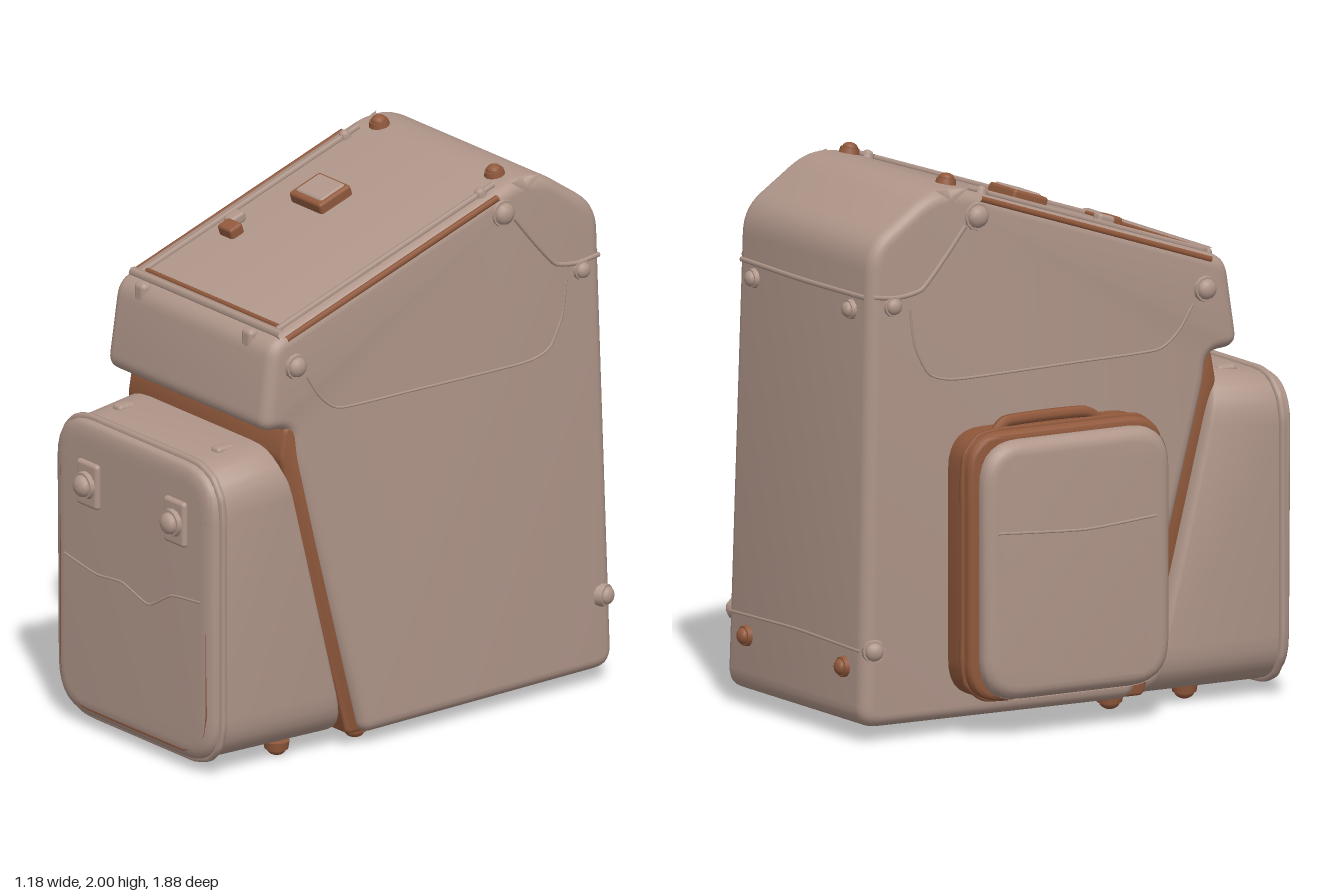
import * as THREE from 'three';
import { toCreasedNormals } from 'three/addons/utils/BufferGeometryUtils.js';
import { RoundedBoxGeometry } from 'three/addons/geometries/RoundedBoxGeometry.js';

const canvas = new THREE.MeshStandardMaterial({ name: 'tan canvas', color: 0xb0968a });
const leather = new THREE.MeshStandardMaterial({ name: 'brown leather', color: 0x91593c });

// closed outline from [x, y, cornerRadius] points
function roundPoly(points) {
  const shape = new THREE.Shape();
  const n = points.length;
  points.forEach(([x, y, r], i) => {
    const p = new THREE.Vector2(x, y);
    const toward = ([a, b]) => new THREE.Vector2(a, b).sub(p).setLength(r).add(p);
    const start = toward(points[(i + n - 1) % n]);
    const end = toward(points[(i + 1) % n]);
    if (i === 0) shape.moveTo(start.x, start.y);
    else shape.lineTo(start.x, start.y);
    shape.quadraticCurveTo(x, y, end.x, end.y);
  });
  shape.closePath();
  return shape;
}

const roundRect = (x0, x1, y0, y1, r) =>
  roundPoly([[x0, y0, r], [x1, y0, r], [x1, y1, r], [x0, y1, r]]);

// extrusion whose rounded edges stay inside the outline, running 0..depth
function softExtrude(shape, depth, bevel) {
  const g = new THREE.ExtrudeGeometry(shape, {
    depth: depth - 2 * bevel, bevelThickness: bevel, bevelSize: bevel,
    bevelOffset: -bevel, bevelSegments: 5, curveSegments: 7,
  });
  return g.translate(0, 0, bevel);
}

// side profile of [z, y, radius] points, extruded from x0 to x1
function sideExtrude(profile, x0, x1, bevel) {
  const shape = roundPoly(profile.map(([z, y, r]) => [-z, y, r]));
  return softExtrude(shape, x1 - x0, bevel).rotateY(Math.PI / 2).translate(x0, 0, 0);
}

function warp(geometry, rule) {
  const pos = geometry.attributes.position;
  const v = new THREE.Vector3();
  for (let i = 0; i < pos.count; i++) {
    rule(v.fromBufferAttribute(pos, i));
    pos.setXYZ(i, v.x, v.y, v.z);
  }
  return geometry;
}

export function createModel() {
  const model = new THREE.Group();
  model.name = 'backpack';

  const add = (name, geometry, material, parent = model) => {
    const mesh = new THREE.Mesh(geometry, material);
    mesh.name = name;
    parent.add(mesh);
    return mesh;
  };
  const smooth = (g) => toCreasedNormals(g, 0.7);
  const cord = (name, pts, r, material, closed = false) => {
    const curve = new THREE.CatmullRomCurve3(pts.map((p) => new THREE.Vector3(...p)), closed, 'catmullrom', 0.3);
    return add(name, new THREE.TubeGeometry(curve, pts.length * 8, r, 6, closed), material);
  };
  // rivet: a washer with a domed head, pointing along dir
  const stud = (name, material, pos, dir, r = 0.04, h = 0.03) => {
    const g = new THREE.Group();
    g.name = name;
    add('washer', new THREE.CylinderGeometry(r * 0.9, r, h, 12), material, g);
    const head = add('head', new THREE.SphereGeometry(r * 0.75, 12, 8), material, g);
    head.position.y = h * 0.5;
    head.scale.y = 0.7;
    g.position.set(...pos);
    g.quaternion.setFromUnitVectors(new THREE.Vector3(0, 1, 0), new THREE.Vector3(...dir).normalize());
    model.add(g);
  };

  // main bag with sloping lid and overhanging brow
  const body = sideExtrude([
    [0.24, 0.045, 0.05], [-0.9, 0.05, 0.08], [-0.86, 1.79, 0.09], [-0.6, 1.97, 0.08],
    [-0.48, 1.965, 0.05], [0.63, 1.6, 0.06], [0.68, 1.275, 0.06], [0.55, 1.265, 0.05], [0.535, 1.15, 0.04],
  ], -0.365, 0.55, 0.045);
  warp(body, (v) => { if (v.x > 0) v.x += 0.02 * (1 - v.y); });
  add('mainBag', smooth(body), canvas);

  // leather gusset between bag and front pocket
  add('frontGusset', smooth(sideExtrude([
    [0.2, 0.05, 0.02], [0.29, 0.05, 0.02], [0.59, 1.16, 0.02], [0.57, 1.27, 0.02], [0.5, 1.27, 0.02],
  ], -0.345, 0.535, 0.015)), leather);

  // front pocket, its back wall leaning with the bag
  const pocket = softExtrude(roundRect(-0.39, 0.505, 0.04, 1.15, 0.18), 1, 0.06);
  warp(pocket, (v) => {
    const back = 0.28 + (v.y - 0.05) * 0.27;
    const t = v.z;
    if (v.x > 0) v.x += 0.04 * (1 - t);
    if (v.y > 0.8) v.y += 0.04 * (1 - t);
    v.z = back + (0.885 - back) * t;
  });
  add('frontPocket', smooth(pocket), canvas);

  // piping around the pocket face
  const loop = (x0, x1, y0, y1, r, z) =>
    roundRect(x0, x1, y0, y1, r).getSpacedPoints(48).slice(0, -1).map((p) => [p.x, p.y, z]);
  cord('pocketPiping', loop(-0.395, 0.51, 0.04, 1.155, 0.18, 0.835), 0.016, canvas, true);
  cord('pocketTrim', loop(-0.355, 0.47, 0.075, 1.115, 0.16, 0.872), 0.011, leather, true);
  cord('pocketFaceSeam', [[-0.33, 0.63, 0.884], [-0.15, 0.6, 0.884], [0, 0.61, 0.884],
    [0.15, 0.57, 0.884], [0.28, 0.64, 0.884], [0.45, 0.66, 0.884]], 0.005, canvas);

  // pocket fasteners
  for (const x of [-0.185, 0.31]) {
    const plate = add('fastenerPlate', new RoundedBoxGeometry(0.12, 0.17, 0.03, 3, 0.014), canvas);
    plate.position.set(x, 0.93, 0.888);
    stud('fastenerKnob', canvas, [x, 0.93, 0.905], [0, 0, 1], 0.055, 0.03);
  }
  for (const x of [-0.22, 0.34]) {
    const tab = add('pocketTab', new RoundedBoxGeometry(0.05, 0.04, 0.08, 2, 0.015), canvas);
    tab.position.set(x, 1.165, 0.7);
  }

  // side pocket on the model's right: leather wall, canvas face, piping
  const sidePocket = (name, x0, x1, z0, z1, y0, y1, r, bevel, material) => {
    const g = softExtrude(roundRect(-z1, -z0, y0, y1, r), x1 - x0, bevel);
    add(name, smooth(g.rotateY(Math.PI / 2).translate(x0, 0, 0)), material);
  };
  sidePocket('sidePocketWall', -0.515, -0.34, -0.54, 0.27, 0.13, 1.1, 0.14, 0.02, leather);
  sidePocket('sidePocketFace', -0.575, -0.49, -0.51, 0.27, 0.135, 1.075, 0.16, 0.05, canvas);
  const ring = roundRect(-0.54, 0.27, 0.13, 1.1, 0.14).getSpacedPoints(40).slice(0, -1);
  cord('sidePocketPiping', ring.map((p) => [-0.465, p.y, p.x]), 0.011, leather, true);
  cord('sidePocketHandle', [[-0.42, 1.08, -0.38], [-0.42, 1.12, -0.33], [-0.42, 1.125, -0.14],
    [-0.42, 1.12, 0], [-0.42, 1.08, 0.06]], 0.022, leather);
  cord('sidePocketSeam', [[-0.574, 0.75, -0.46], [-0.576, 0.73, -0.1], [-0.574, 0.75, 0.2]], 0.005, canvas);

  // lid seams and hardware
  const lidY = (z) => 1.972 - (z + 0.48) * 0.332;
  const tilt = Math.atan(0.332);
  for (const x of [-0.295, 0.475]) {
    cord('lidSeam', [[x, lidY(-0.42), -0.42], [x, lidY(0.1), 0.1], [x, lidY(0.56), 0.56]], 0.012, canvas);
  }
  cord('lidFrontPiping', [[-0.33, lidY(0.575), 0.575], [0.1, lidY(0.575), 0.575], [0.52, lidY(0.575), 0.575]], 0.018, canvas);
  cord('lidFrontTrim', [[-0.29, lidY(0.545), 0.545], [0.1, lidY(0.545), 0.545], [0.475, lidY(0.545), 0.545]], 0.009, leather);
  for (const x of [-0.355, 0.525]) {
    cord('lidEdgeCord', [[x, lidY(-0.4) - 0.025, -0.4], [x, lidY(0.1) - 0.025, 0.1], [x, lidY(0.56) - 0.025, 0.56]], 0.012, leather);
  }
  const onLid = (name, size, x, z, lift, material) => {
    const m = add(name, new RoundedBoxGeometry(...size, 2, 0.012), material);
    m.position.set(x, lidY(z) + lift, z);
    m.rotation.x = tilt;
  };
  onLid('lidPatchBase', [0.18, 0.05, 0.15], -0.06, -0.065, 0.01, leather);
  onLid('lidPatchTop', [0.15, 0.03, 0.12], -0.06, -0.065, 0.027, canvas);
  onLid('lidBuckle', [0.08, 0.05, 0.06], -0.19, 0.24, 0.01, leather);
  onLid('lidBucklePin', [0.05, 0.04, 0.07], -0.23, 0.19, 0.012, canvas);
  for (const x of [-0.225, 0.385]) {
    const clip = add('lidClip', new RoundedBoxGeometry(0.06, 0.09, 0.05, 3, 0.02), canvas);
    clip.position.set(x, 1.575, 0.61);
    stud('topStud', leather, [x - 0.012 + (x > 0 ? 0.045 : 0), 1.972, -0.47], [0, 1, 0.2], 0.038, 0.02);
    stud('lidRearClip', canvas, [x + (x > 0 ? 0.09 : -0.07), lidY(-0.36), -0.36], [0, 1, 0.33], 0.025, 0.015);
  }

  // flank rivets and seams, mirrored on both sides
  for (const s of [-1, 1]) {
    const at = (y) => (s > 0 ? 0.55 + 0.02 * (1 - y) : -0.365);
    const flank = (name, pts, r) => cord(name, pts.map(([z, y]) => [at(y), y, z]), r, canvas);
    stud('browRivet', canvas, [at(1.5), 1.5, 0.53], [s, 0, 0], 0.05, 0.025);
    stud('crownRivet', canvas, [at(1.86) - s * 0.005, 1.86, -0.42], [s, 0, 0], 0.055, 0.025);
    stud('shoulderRivet', canvas, [at(1.55), 1.57, -0.77], [s, 0, 0], 0.04, 0.02);
    stud('lowerRivet', canvas, [at(0.33), 0.33, -0.85], [s, 0, -0.4], 0.045, 0.03);
    flank('crownSeam', [[-0.47, 1.83], [-0.55, 1.73], [-0.65, 1.62], [-0.75, 1.6], [-0.85, 1.61]], 0.009);
    flank('flankSeam', [[0.48, 1.45], [0.42, 1.36], [0.33, 1.3], [0, 1.29], [-0.5, 1.28],
      [-0.62, 1.31], [-0.68, 1.42], [-0.7, 1.55]], 0.005);
  }

  // back seam, back rivets and feet
  cord('backSeam', [[-0.33, 1.605, -0.863], [0.1, 1.6, -0.864], [0.51, 1.605, -0.863]], 0.01, canvas);
  cord('backLowerSeam', [[-0.34, 0.33, -0.891], [0.1, 0.34, -0.891], [0.54, 0.33, -0.891]], 0.006, canvas);
  for (const x of [-0.24, 0.42]) {
    stud('backUpperRivet', canvas, [x, 1.55, -0.87], [0, 0, -1], 0.038, 0.025);
    stud('backLowerRivet', leather, [x, 0.26, -0.9], [0, 0, -1], 0.04, 0.025);
    stud('pocketFoot', leather, [x, 0.038, 0.52], [0, -1, 0], 0.048, 0.03);
    stud('bagFoot', leather, [x + (x > 0 ? 0.03 : -0.03), 0.04, 0.19], [0, -1, 0], 0.05, 0.03);
  }
  return model;
}
